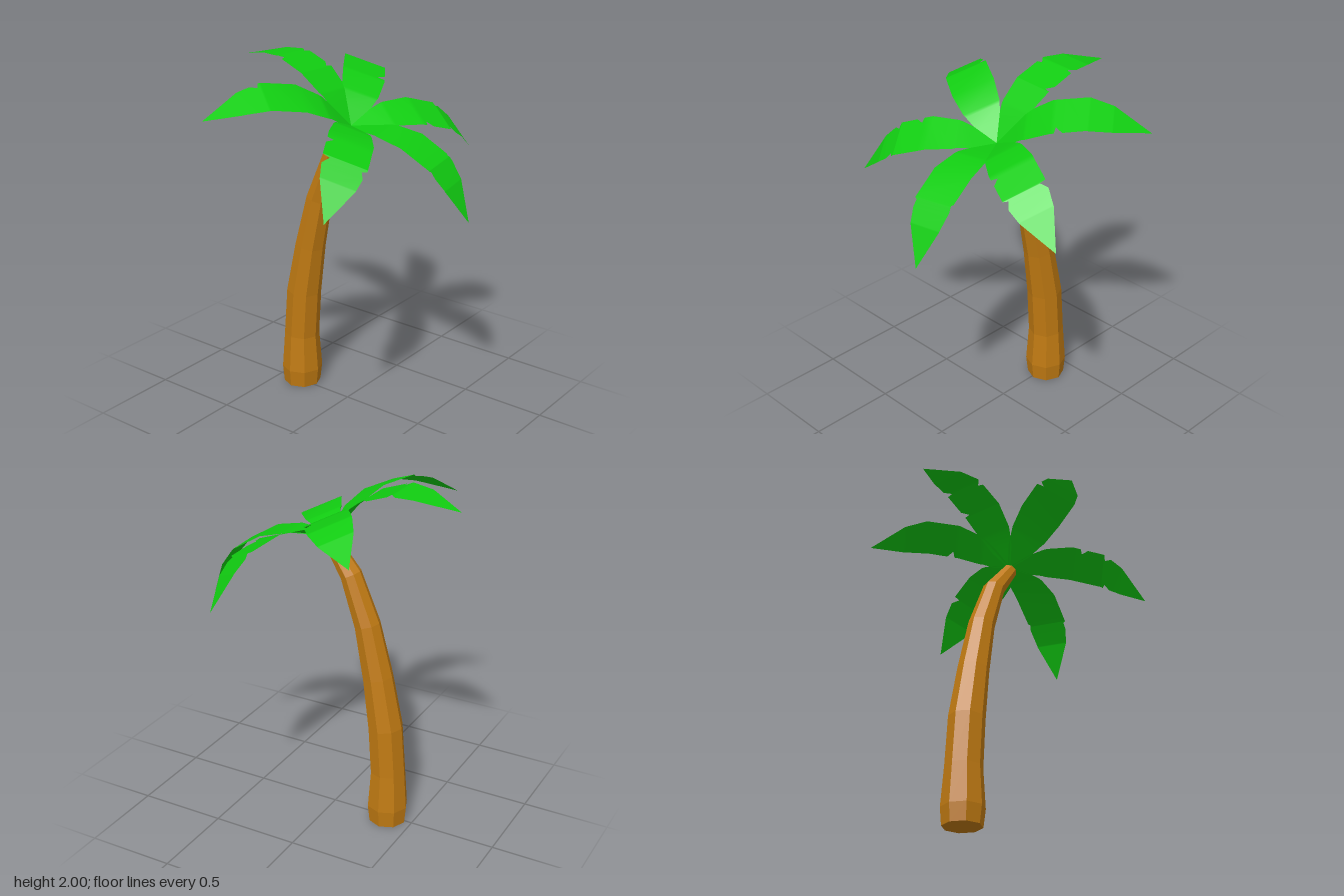
import * as THREE from 'three';

const barkBrown = new THREE.MeshStandardMaterial({ color: 0xc07a12, flatShading: true });
barkBrown.name = 'barkBrown';
const leafGreen = new THREE.MeshStandardMaterial({ color: 0x11cc11, side: THREE.DoubleSide });
leafGreen.name = 'leafGreen';

// Trunk rings from the ground up: x, y, z of the centre, radius, forward lean
const RINGS = [
  [0.015, 0, -0.352, 0.108, 0],
  [0.014, 0.1, -0.35, 0.118, 0],
  [0.013, 0.32, -0.349, 0.102, 0.04],
  [0.013, 0.6, -0.328, 0.1, 0.09],
  [0.012, 0.9, -0.275, 0.087, 0.18],
  [0.01, 1.2, -0.205, 0.074, 0.26],
  [0.003, 1.47, -0.098, 0.061, 0.45],
  [-0.012, 1.648, 0.042, 0.043, 0.7],
];

// Frond shape along its length: height and half width
const HEIGHT = [[0, 0], [0.18, 0.093], [0.34, 0.13], [0.53, 0.112], [0.645, 0.05], [0.815, -0.09]];
const WIDTH = [[0, 0.008], [0.1, 0.07], [0.2, 0.105], [0.34, 0.122], [0.54, 0.12], [0.65, 0.095], [0.815, 0]];

// Fronds: heading in degrees (0 = left, 90 = front), tears as [side, distance, depth]
const FRONDS = [
  ['frontFrond', 82.2, [[1, 0.54, 0.012], [-1, 0.52, 0.01]]],
  ['frontLeftFrond', 28, [[-1, 0.53, 0.035], [1, 0.38, 0.035], [1, 0.54, 0.028]]],
  ['backLeftFrond', -35.5, [[1, 0.37, 0.045]]],
  ['backFrond', -86.5, [[1, 0.35, 0.035], [1, 0.52, 0.035], [-1, 0.5, 0.03]]],
  ['backRightFrond', -147.7, [[1, 0.55, 0.035]]],
  ['frontRightFrond', 147.5, [[1, 0.4, 0.035], [1, 0.54, 0.04], [-1, 0.55, 0.025]]],
];

function sample(points, s) {
  const i = Math.max(1, points.findIndex((p) => p[0] >= s - 1e-9));
  const [a, b] = [points[i - 1], points[i]];
  return THREE.MathUtils.mapLinear(s, a[0], b[0], a[1], b[1]);
}

// Eight-sided column whose rings are placed along the bend
function createTrunk() {
  const steps = RINGS.length - 1;
  const geometry = new THREE.CylinderGeometry(1, 1, 1, 8, steps);
  const pos = geometry.attributes.position;
  for (let i = 0; i < pos.count; i++) {
    const [x, y, z, r, lean] = RINGS[Math.round((pos.getY(i) + 0.5) * steps)];
    const forward = pos.getZ(i) * r;
    pos.setXYZ(i, x + pos.getX(i) * r, y - forward * Math.sin(lean), z + forward * Math.cos(lean));
  }
  geometry.computeVertexNormals();
  const trunk = new THREE.Mesh(geometry, barkBrown);
  trunk.name = 'trunk';
  return trunk;
}

// Arched thin leaf with torn notches in its edges
function createFrond(name, degrees, tears) {
  const angle = THREE.MathUtils.degToRad(degrees);
  const dx = Math.cos(angle), dz = Math.sin(angle);
  const tearShape = (s, depth) => [[s - 0.008, 0], [s, depth], [s + 0.035, 0]];
  const edge = (side, s) => {
    let w = sample(WIDTH, s);
    for (const [tearSide, at, depth] of tears) {
      if (tearSide === side && s > at - 0.008 && s < at + 0.035) w -= sample(tearShape(at, depth), s);
    }
    return side * w;
  };
  const stations = [...HEIGHT, ...WIDTH].map((p) => p[0]);
  for (const [, at, depth] of tears) stations.push(...tearShape(at, depth).map((p) => p[0]));
  const rows = [...new Set(stations.map((s) => +s.toFixed(4)))].sort((a, b) => a - b);

  const vertices = [], faces = [];
  rows.forEach((s, i) => {
    for (const side of [-1, 1]) {
      const w = edge(side, s);
      vertices.push(dx * s - dz * w, sample(HEIGHT, s), dz * s + dx * w);
    }
    const a = i * 2;
    if (i < rows.length - 1) faces.push(a, a + 1, a + 3, a, a + 3, a + 2);
  });
  const geometry = new THREE.BufferGeometry();
  geometry.setAttribute('position', new THREE.Float32BufferAttribute(vertices, 3));
  geometry.setIndex(faces);
  geometry.computeVertexNormals();
  const frond = new THREE.Mesh(geometry, leafGreen);
  frond.name = name;
  return frond;
}

export function createModel() {
  const model = new THREE.Group();
  model.name = 'palmTree';
  model.add(createTrunk());

  // Crown of fronds, tipped forward with the trunk
  const crown = new THREE.Group();
  crown.name = 'crown';
  crown.position.set(-0.015, 1.67, 0.035);
  crown.rotation.x = 0.447;
  for (const [name, degrees, tears] of FRONDS) crown.add(createFrond(name, degrees, tears));
  model.add(crown);
  return model;
}
